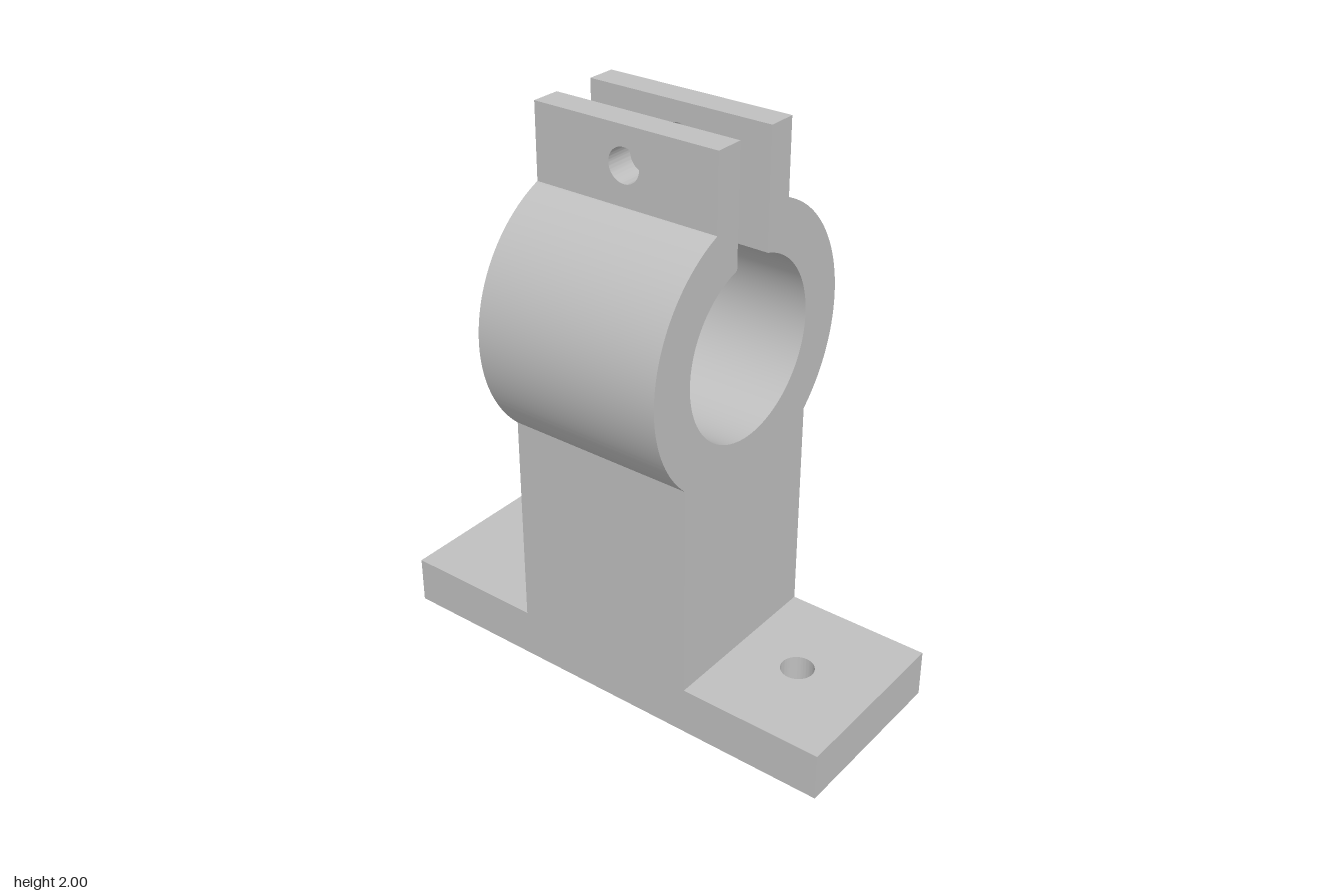
import * as THREE from 'three';
import { toCreasedNormals } from 'three/addons/utils/BufferGeometryUtils.js';

const TOP = 2, BASE_H = 0.172, HALF_X = 0.343, HALF_Z = 0.325;
const BORE_Y = 1.297, BORE_R = 0.308, RING_R = 0.48;
const SLOT = 0.08, EAR_Z = 0.183, HOLE_R = 0.058;

export function createModel() {
  const model = new THREE.Group();
  model.name = 'clampBracket';
  const metal = new THREE.MeshStandardMaterial({ color: 0xbfbfbf });
  metal.name = 'plain grey';

  // Extrude a shape, centred on its depth, with smooth bores and sharp edges
  const extrude = (shape, depth) => {
    const g = new THREE.ExtrudeGeometry(shape, { depth, bevelEnabled: false, curveSegments: 48 });
    g.translate(0, 0, -depth / 2);
    return toCreasedNormals(g, 0.5);
  };
  const add = (name, geometry) => {
    const mesh = new THREE.Mesh(geometry, metal);
    mesh.name = name;
    model.add(mesh);
    return mesh;
  };
  // Rectangle with round holes
  const plate = (x, y0, y1, holes) => {
    const s = new THREE.Shape();
    s.moveTo(-x, y0).lineTo(x, y0).lineTo(x, y1).lineTo(-x, y1).closePath();
    for (const [hx, hy] of holes) {
      s.holes.push(new THREE.Path().absarc(hx, hy, HOLE_R, 0, Math.PI * 2, true));
    }
    return s;
  };

  // Base plate with two mounting holes
  const base = extrude(plate(0.862, -HALF_Z, HALF_Z, [[-0.572, 0], [0.572, 0]]), BASE_H);
  base.rotateX(-Math.PI / 2);
  base.translate(0, BASE_H / 2, 0);
  add('basePlate', base);

  // Pillar and split ring share one side profile, extruded across the width
  const low = Math.acos(HALF_Z / RING_R);
  const high = Math.acos(EAR_Z / RING_R);
  const slot = Math.acos(SLOT / BORE_R);
  const earY = BORE_Y + RING_R * Math.sin(high);
  const profile = new THREE.Shape();
  profile.moveTo(-HALF_Z, BASE_H).lineTo(HALF_Z, BASE_H);
  profile.absarc(0, BORE_Y, RING_R, -low, high, false);
  profile.lineTo(SLOT, earY);
  profile.absarc(0, BORE_Y, BORE_R, slot, Math.PI - slot, true);
  profile.lineTo(-SLOT, earY);
  profile.absarc(0, BORE_Y, RING_R, Math.PI - high, Math.PI + low, false);
  profile.closePath();
  const body = extrude(profile, HALF_X * 2);
  body.rotateY(Math.PI / 2);
  add('pillarAndSplitRing', body);

  // Pair of clamping ears with a bolt hole
  for (const [name, side] of [['frontEar', 1], ['backEar', -1]]) {
    const ear = add(name, extrude(plate(HALF_X, earY, TOP, [[0, 1.873]]), EAR_Z - SLOT));
    ear.position.z = side * (EAR_Z + SLOT) / 2;
  }
  return model;
}
